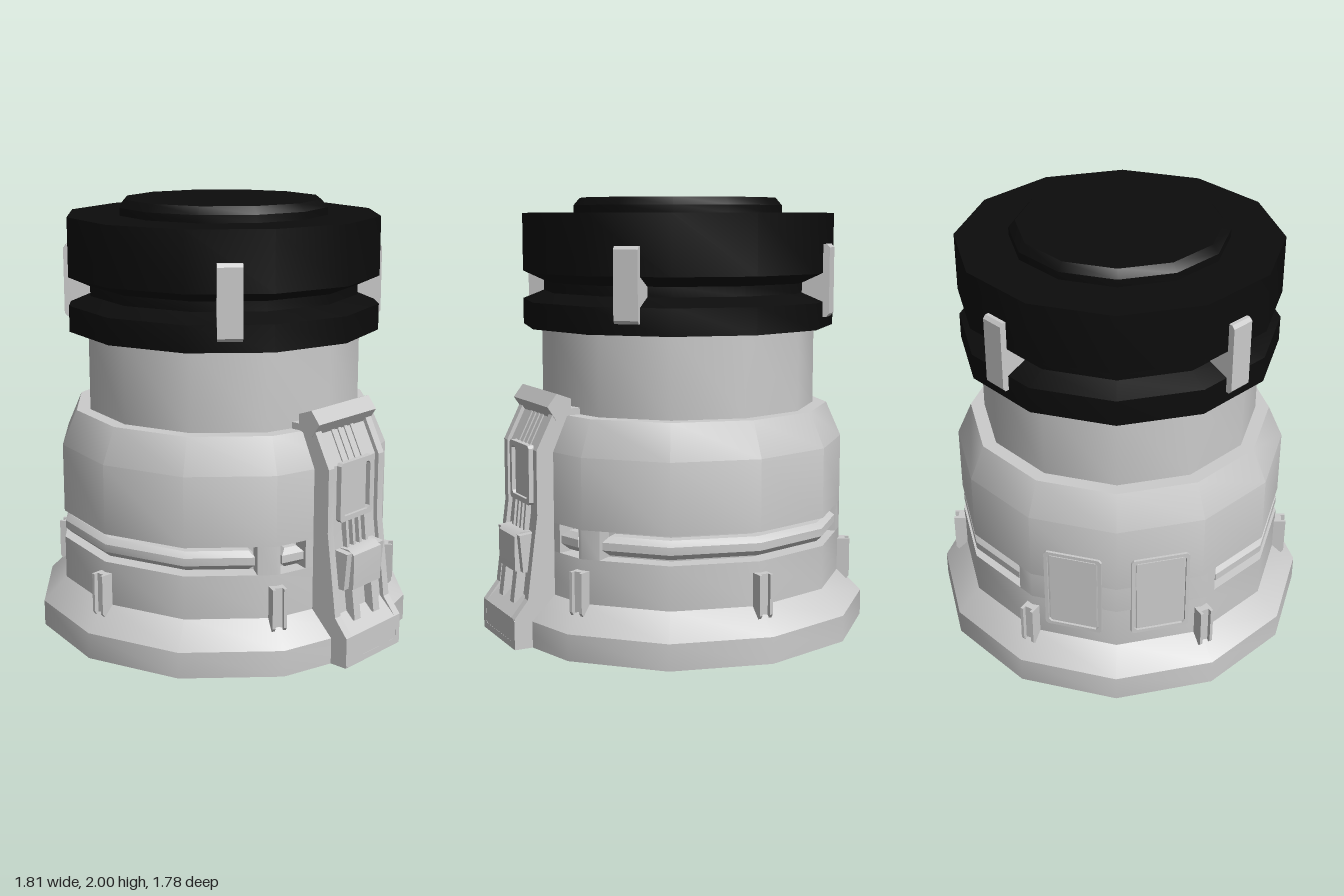
import * as THREE from 'three';
import { toCreasedNormals } from 'three/addons/utils/BufferGeometryUtils.js';

const RAD = Math.PI / 180;
const SIDES = 12;
const R = 0.78; // body corner radius
const grey = new THREE.MeshStandardMaterial({ color: 0xcccccc });
const black = new THREE.MeshStandardMaterial({ color: 0x0c0c0c });

function addMesh(parent, name, geometry, material = grey, crease = 34 * RAD) {
  const mesh = new THREE.Mesh(toCreasedNormals(geometry, crease), material);
  mesh.name = name;
  parent.add(mesh);
  return mesh;
}

const points = (list) => list.map(([x, y]) => new THREE.Vector2(x, y));
const lathe = (list) => new THREE.LatheGeometry(points(list), SIDES);

// Points along the twelve-sided outline between two angles (degrees from +z)
function arc(from, to, radius) {
  const angles = [from];
  for (let a = Math.floor(from / 30) * 30 + 30; a < to; a += 30) angles.push(a);
  angles.push(to);
  return angles.map((a) => {
    const local = (((a % 30) + 30) % 30) - 15;
    const r = radius * Math.cos(15 * RAD) / Math.cos(local * RAD);
    return new THREE.Vector2(r * Math.sin(a * RAD), -r * Math.cos(a * RAD));
  });
}

// Extrude a floor-plan outline upward from y
function extrudeUp(outline, y, depth, bevel = 0) {
  const g = new THREE.ExtrudeGeometry(new THREE.Shape(outline), {
    depth, bevelEnabled: bevel > 0, bevelSize: bevel, bevelThickness: bevel, bevelSegments: 1,
  });
  return g.rotateX(-Math.PI / 2).translate(0, y + bevel, 0);
}

// Extrude an (outward, y) side profile; it faces +x and is centred on z
function sideProfile(list, width, z = 0) {
  const g = new THREE.ExtrudeGeometry(new THREE.Shape(points(list)), { depth: width, bevelEnabled: false });
  return g.translate(0, 0, z - width / 2);
}

function box(parent, name, w, h, d, x, y, z, tilt = 0) {
  const mesh = addMesh(parent, name, new THREE.BoxGeometry(w, h, d));
  mesh.position.set(x, y, z);
  mesh.rotation.z = tilt;
  return mesh;
}

// Group turned so that its +x points to an angle measured from +z
function facing(parent, name, degrees) {
  const g = new THREE.Group();
  g.name = name;
  g.rotation.y = (degrees - 90) * RAD;
  parent.add(g);
  return g;
}

function rectangle(w, h, cut, Type = THREE.Shape) {
  const x = w / 2, y = h / 2;
  return new Type(points([[-x + cut, -y], [x - cut, -y], [x, -y + cut], [x, y - cut],
    [x - cut, y], [-x + cut, y], [-x, y - cut], [-x, -y + cut]]));
}

// Framed rectangle facing +x
function frame(parent, name, w, h, border, depth, x, y) {
  const shape = rectangle(w, h, 0.012);
  shape.holes.push(rectangle(w - 2 * border, h - 2 * border, 0.012, THREE.Path));
  const g = new THREE.ExtrudeGeometry(shape, { depth, bevelEnabled: false });
  addMesh(parent, name, g.rotateY(Math.PI / 2).translate(x, y, 0));
}

function buildBody(body) {
  // Flared base with hollow underside and a downward bowl
  addMesh(body, 'base', lathe([[0, 0.02], [0.17, 0.02], [0.35, 0.09], [0.46, 0.17], [0.49, 0.24],
    [0.765, 0.24], [0.78, 0.12], [0.88, 0], [0.89, 0], [0.89, 0.12], [R, 0.23], [R, 0.43], [0.68, 0.43]]));
  addMesh(body, 'upperBody', lathe([[0.68, 0.56], [R, 0.56], [R, 0.88], [0.71, 1.04],
    [0.645, 1.04], [0.645, 1.42]]));

  // Slotted band between the two body halves, with a rail in every slot
  const slots = [[-54, 54], [61.5, 71.5], [108.5, 118.5], [126, 234]];
  const outline = [];
  slots.forEach(([a, b], i) => {
    const next = i < slots.length - 1 ? slots[i + 1][0] : 306;
    outline.push(...arc(a, b, R - 0.085), ...arc(b, next, R));
    const rail = [...arc(a + 2.5, b - 2.5, R - 0.03), ...arc(a + 2.5, b - 2.5, R - 0.09).reverse()];
    addMesh(body, 'slotRail', extrudeUp(rail, 0.45, 0.035, 0.025));
  });
  addMesh(body, 'slottedBand', extrudeUp(outline, 0.43, 0.13));

  // Channel brackets standing on the flare
  for (let a = 0; a < 360; a += 60) {
    const bracket = facing(body, 'baseBracket', a);
    box(bracket, 'bracketBack', 0.06, 0.2, 0.06, 0.78, 0.28, 0);
    for (const s of [-1, 1]) {
      addMesh(bracket, 'bracketSide', sideProfile([[0.75, 0.18], [0.815, 0.18], [0.83, 0.2],
        [0.83, 0.38], [0.75, 0.38]], 0.014, s * 0.026));
    }
  }

  // Framed access panels on the left-over facets
  for (const a of [255, 285]) {
    const panel = facing(body, 'accessPanel', a);
    frame(panel, 'panelFrame', 0.27, 0.42, 0.016, 0.014, R * Math.cos(15 * RAD) - 0.002, 0.505);
    box(panel, 'panelDoor', 0.01, 0.37, 0.22, R * Math.cos(15 * RAD) + 0.001, 0.505, 0);
  }
}

function buildCap(body) {
  addMesh(body, 'cap', lathe([[0, 1.41], [0.733, 1.41], [0.733, 1.53], [0.633, 1.57], [0.633, 1.615],
    [0.733, 1.66], [0.733, 1.93], [0.49, 1.93], [0.49, 1.965], [0.46, 2], [0, 2]]), black);
  // Clips bridging the groove
  for (let a = 45; a < 360; a += 90) {
    const clip = facing(body, 'capClip', a);
    addMesh(clip, 'clipPlate', sideProfile([[0.7, 1.46], [0.725, 1.46], [0.738, 1.475], [0.738, 1.775],
      [0.725, 1.79], [0.7, 1.79], [0.7, 1.68], [0.61, 1.63], [0.61, 1.56], [0.7, 1.52]], 0.11));
  }
}

function buildConsole(unit) {
  // Recessed middle between two raised side rails
  const profile = (inset) => [[0.7, 0], [0.905, 0], [0.905, 0.14], [0.84 - inset, 0.22],
    [0.79 - inset, 0.6], [0.79 - inset, 0.89], [0.7 - inset, 1.07], [0.58, 1.07], [0.58, 0.26], [0.7, 0.26]];
  addMesh(unit, 'consoleCore', sideProfile(profile(0.02), 0.32), grey, 0.2);
  for (const s of [-1, 1]) {
    addMesh(unit, 'consoleSide', sideProfile(profile(0), 0.04, s * 0.18), grey, 0.2);
  }
  frame(unit, 'footFrame', 0.4, 0.14, 0.03, 0.006, 0.9, 0.07);

  // Faceted roll along the top
  const roll = addMesh(unit, 'topRoll', new THREE.CylinderGeometry(0.062, 0.062, 0.41, 5), grey, 0.2);
  roll.rotation.set(Math.PI / 2, 0.35, 0);
  roll.position.set(0.675, 1.08, 0);

  // Screen, with ribs above and cables below
  frame(unit, 'screenFrame', 0.235, 0.27, 0.024, 0.03, 0.765, 0.765);
  box(unit, 'screen', 0.02, 0.22, 0.16, 0.772, 0.765, 0);
  for (let i = 0; i < 4; i++) {
    const z = (i - 1.5) * 0.045;
    box(unit, 'upperRib', 0.025, 0.17, 0.02, 0.725, 0.965, z, 0.46);
    box(unit, 'lowerCable', 0.03, 0.16, 0.018, 0.785, 0.56, z, 0.1);
  }

  // Connector block and its two prongs
  addMesh(unit, 'connector', sideProfile([[0.76, 0.33], [0.86, 0.33], [0.862, 0.42],
    [0.86, 0.49], [0.83, 0.51], [0.76, 0.51]], 0.2));
  for (const s of [-1, 1]) {
    addMesh(unit, 'connectorEar', sideProfile([[0.76, 0.33], [0.835, 0.33], [0.85, 0.5],
      [0.76, 0.51]], 0.035, s * 0.117));
    box(unit, 'prong', 0.05, 0.2, 0.045, 0.83, 0.28, s * 0.07, 0.13);
  }
}

export function createModel() {
  const model = new THREE.Group();
  model.name = 'canister';
  const body = new THREE.Group();
  body.name = 'body';
  body.position.x = -0.016;
  model.add(body);
  buildBody(body);
  buildCap(body);
  const unit = new THREE.Group();
  unit.name = 'console';
  model.add(unit);
  buildConsole(unit);
  return model;
}
